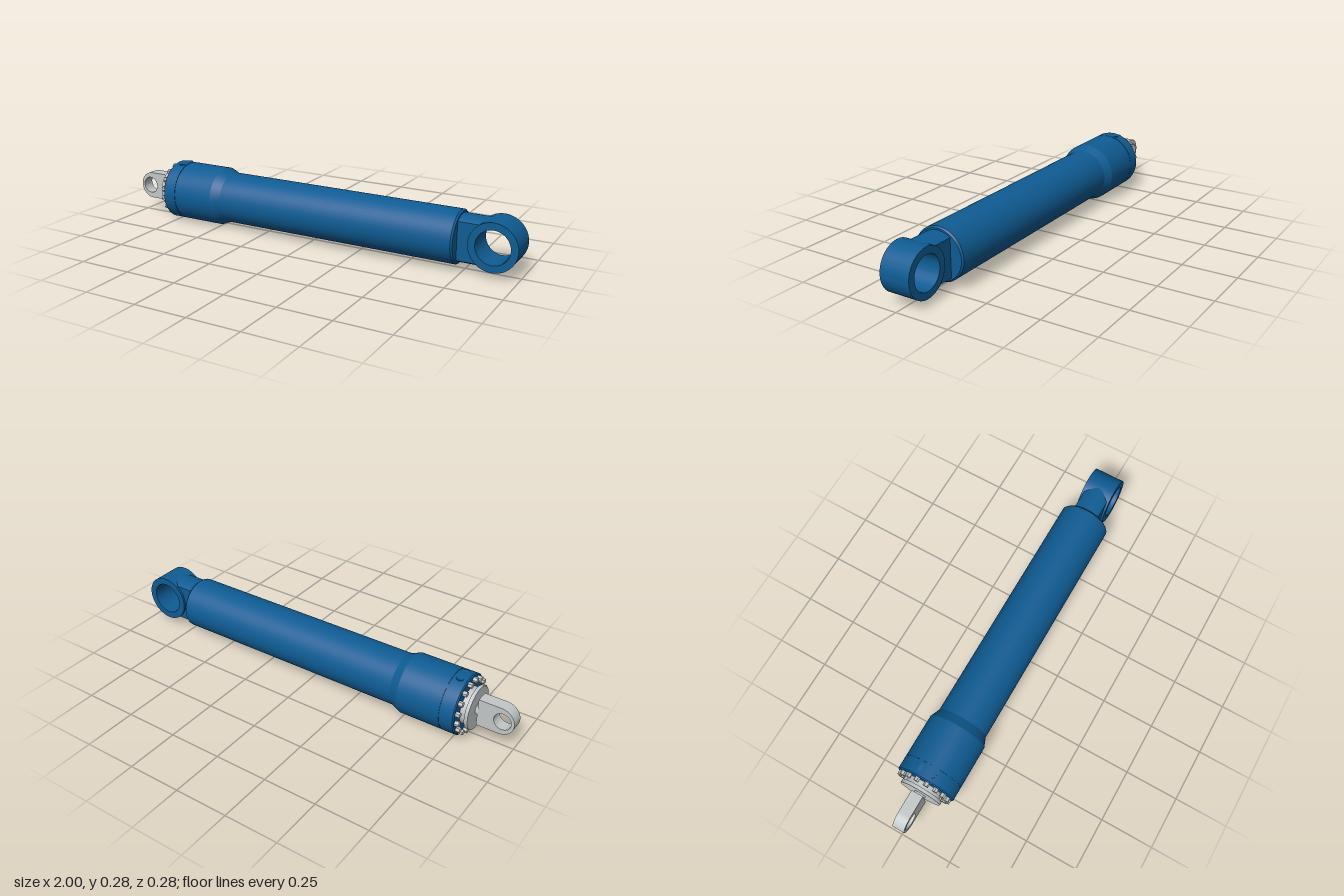
import * as THREE from 'three';
import { toCreasedNormals } from 'three/addons/utils/BufferGeometryUtils.js';

const AXIS_Y = 0.142;

export function createModel() {
  const model = new THREE.Group();
  model.name = 'hydraulicCylinder';
  const body = new THREE.Group();
  body.name = 'cylinderAssembly';
  body.position.y = AXIS_Y;
  model.add(body);

  const blue = new THREE.MeshStandardMaterial({ name: 'bluePaint', color: 0x0f5c94 });
  const steel = new THREE.MeshStandardMaterial({ name: 'lightSteel', color: 0xc3c7c8 });

  const add = (name, geometry, material) => {
    const mesh = new THREE.Mesh(toCreasedNormals(geometry, 0.3), material);
    mesh.name = name;
    body.add(mesh);
    return mesh;
  };
  // Turned part along x from [x, radius] pairs
  const turned = (name, profile, material) => {
    const g = new THREE.LatheGeometry(profile.map(([x, r]) => new THREE.Vector2(r, x)), 72);
    return add(name, g.rotateZ(-Math.PI / 2), material);
  };
  // Plate in the xy plane, centred on z
  const plate = (shape, depth, steps = 1) =>
    new THREE.ExtrudeGeometry(shape, { depth, steps, bevelEnabled: false, curveSegments: 40 })
      .translate(0, 0, -depth / 2);
  const hole = (shape, x, r) => {
    const path = new THREE.Path();
    path.absarc(x, 0, r, 0, Math.PI * 2, true);
    shape.holes.push(path);
  };

  // Barrel with the wider, tapered head end
  turned('barrel', [
    [-0.706, 0], [-0.706, 0.141], [-0.5, 0.141], [-0.455, 0.122],
    [0.719, 0.122], [0.727, 0.115], [0.727, 0]
  ], blue);
  turned('headSeam', [[-0.71, 0.139], [-0.705, 0.139]], blue);
  turned('headCap', [
    [-0.776, 0], [-0.776, 0.136], [-0.771, 0.141], [-0.709, 0.141], [-0.709, 0]
  ], blue);

  // Two low port bosses on top of the head
  for (const side of [-1, 1]) {
    const port = add('portBoss', new THREE.CylinderGeometry(0.018, 0.018, 0.012, 24), blue);
    port.position.set(-0.737, 0.133, side * 0.026);
  }

  // Ring of hexagonal bolts on the head face
  const boltCount = 16;
  for (let i = 0; i < boltCount; i++) {
    const a = ((i + 0.5) / boltCount) * Math.PI * 2;
    const bolt = add('headBolt', new THREE.CylinderGeometry(0.013, 0.013, 0.02, 6).rotateZ(Math.PI / 2), steel);
    bolt.position.set(-0.785, Math.cos(a) * 0.121, Math.sin(a) * 0.121);
    bolt.rotation.x = a;
  }

  // Piston rod and its end flange
  turned('pistonRod', [[-0.806, 0.085], [-0.774, 0.085]], steel);
  turned('rodFlange', [[-0.82, 0], [-0.82, 0.1], [-0.804, 0.1], [-0.804, 0]], steel);
  turned('rodNeck', [[-0.835, 0.028], [-0.818, 0.028]], steel);

  // Flat rod eye with a rounded tip
  const tongue = new THREE.Shape();
  tongue.moveTo(-0.831, -0.066);
  tongue.lineTo(-0.831, 0.066);
  tongue.lineTo(-0.934, 0.066);
  tongue.absarc(-0.934, 0, 0.066, Math.PI / 2, Math.PI * 1.5, false);
  hole(tongue, -0.946, 0.04);
  add('rodEye', plate(tongue, 0.058), steel);

  // Base eye ring
  const ring = new THREE.Shape();
  ring.absarc(0.888, 0, 0.111, 0, Math.PI * 2, false);
  hole(ring, 0.888, 0.078);
  add('baseEye', plate(ring, 0.144), blue);

  // Neck joining barrel and eye: a round bar with flat sides
  const neck = new THREE.Shape();
  neck.moveTo(0.72, 0.108);
  neck.lineTo(0.72, -0.108);
  neck.lineTo(0.888, -0.108);
  neck.lineTo(0.888, -0.084);
  neck.absarc(0.888, 0, 0.084, Math.PI * 1.5, Math.PI / 2, true);
  neck.lineTo(0.888, 0.108);
  const neckGeometry = plate(neck, 0.124, 16);
  const p = neckGeometry.attributes.position;
  for (let i = 0; i < p.count; i++) {
    const limit = Math.sqrt(0.108 ** 2 - p.getZ(i) ** 2);
    p.setY(i, THREE.MathUtils.clamp(p.getY(i), -limit, limit));
  }
  neckGeometry.computeVertexNormals();
  add('baseNeck', neckGeometry, blue);

  return model;
}
